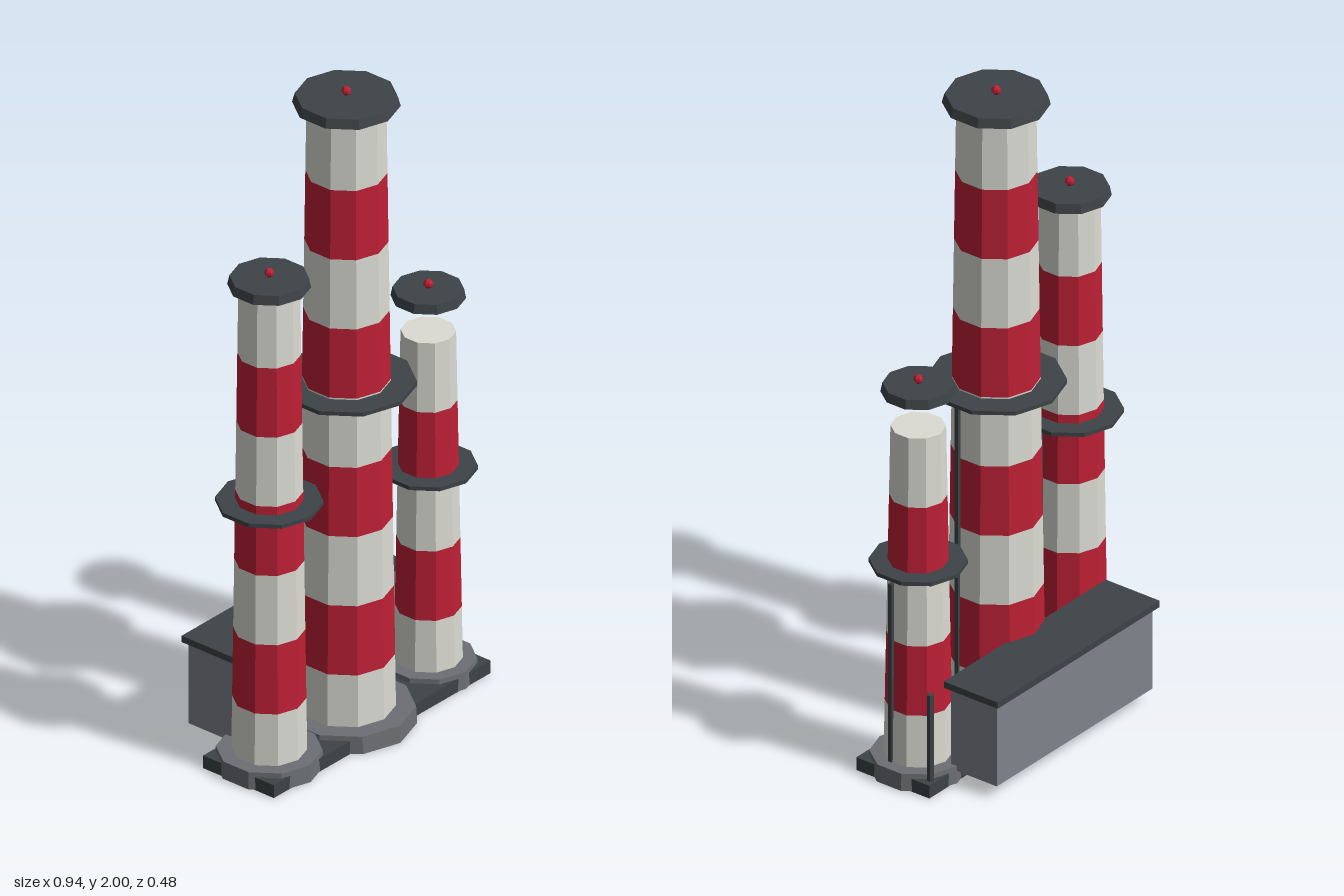
import * as THREE from 'three';

const mat = (name, color) => {
  const m = new THREE.MeshStandardMaterial({ color, flatShading: true });
  m.name = name;
  return m;
};

export function createModel() {
  const white = mat('stackWhite', 0xdcdcd4);
  const red = mat('stackRed', 0xbe2035);
  const dark = mat('darkSteel', 0x3d4347);
  const concrete = mat('concrete', 0x6c6f74);
  const wall = mat('wallGrey', 0x80838c);
  const glow = mat('windowAmber', 0xe0b474);

  const model = new THREE.Group();
  model.name = 'powerStation';

  const add = (parent, name, geo, material, x, y, z) => {
    const m = new THREE.Mesh(geo, material);
    m.name = name;
    m.position.set(x, y, z);
    parent.add(m);
    return m;
  };
  // Box given by its min and max corners
  const box = (name, material, x0, x1, y0, y1, z0, z1) =>
    add(model, name, new THREE.BoxGeometry(x1 - x0, y1 - y0, z1 - z0), material,
      (x0 + x1) / 2, (y0 + y1) / 2, (z0 + z1) / 2);
  // Ten-sided drum standing on y0
  const drum = (parent, name, material, rTop, rBottom, y0, h, open = false) =>
    add(parent, name, new THREE.CylinderGeometry(rTop, rBottom, h, 10, 1, open), material, 0, y0 + h / 2, 0);

  // Ground slab, engine house and roof
  box('baseSlab', dark, -0.46, 0.452, 0, 0.04, -0.082, 0.173);
  box('engineHouse', wall, -0.35, 0.34, 0.04, 0.297, -0.229, -0.07);
  box('houseRoof', dark, -0.363, 0.354, 0.296, 0.316, -0.243, -0.055);
  for (const x of [-0.185, -0.005, 0.165]) {
    box('window', glow, x - 0.041, x + 0.041, 0.183, 0.235, -0.071, -0.066);
  }

  // Slim vent post beside the house
  add(model, 'ventPost', new THREE.CylinderGeometry(0.01, 0.01, 0.27, 6), dark, 0.425, 0.175, -0.065);

  // Striped chimney with foot, gallery, ladder, cap and beacon
  const BAND = 0.2165;
  const chimney = (name, x, r, rTop, bands, capY) => {
    const g = new THREE.Group();
    g.name = name;
    g.position.set(x, 0, 0.045);
    model.add(g);
    drum(g, 'foot', concrete, r * 1.4, r * 1.42, 0.002, 0.053);
    const radius = (i) => THREE.MathUtils.lerp(r, rTop, i / bands);
    for (let i = 0; i < bands; i++) {
      drum(g, 'band', i % 2 ? red : white, radius(i + 1), radius(i), i * BAND, BAND, i < bands - 1);
    }
    const galleryY = capY * 0.55;
    drum(g, 'gallery', dark, r * 1.42, r * 1.42, galleryY - 0.006, 0.012);
    const a = 0.26, top = galleryY - 0.04;
    const ladder = add(g, 'ladder', new THREE.BoxGeometry(0.012, top - 0.05, 0.012), dark,
      r * 0.97 * Math.cos(a), (top + 0.05) / 2, r * 0.97 * Math.sin(a));
    ladder.rotation.y = 0;
    drum(g, 'cap', dark, rTop * 1.29, rTop * 1.36, capY - 0.004, 0.028);
    add(g, 'beacon', new THREE.SphereGeometry(0.014, 6, 5), red, 0, capY + 0.037, 0);
  };
  chimney('tallChimney', -0.005, 0.137, 0.11, 9, 1.949);
  chimney('middleChimney', -0.33, 0.105, 0.085, 7, 1.516);
  chimney('shortChimney', 0.34, 0.096, 0.0765, 5, 1.192);

  return model;
}
